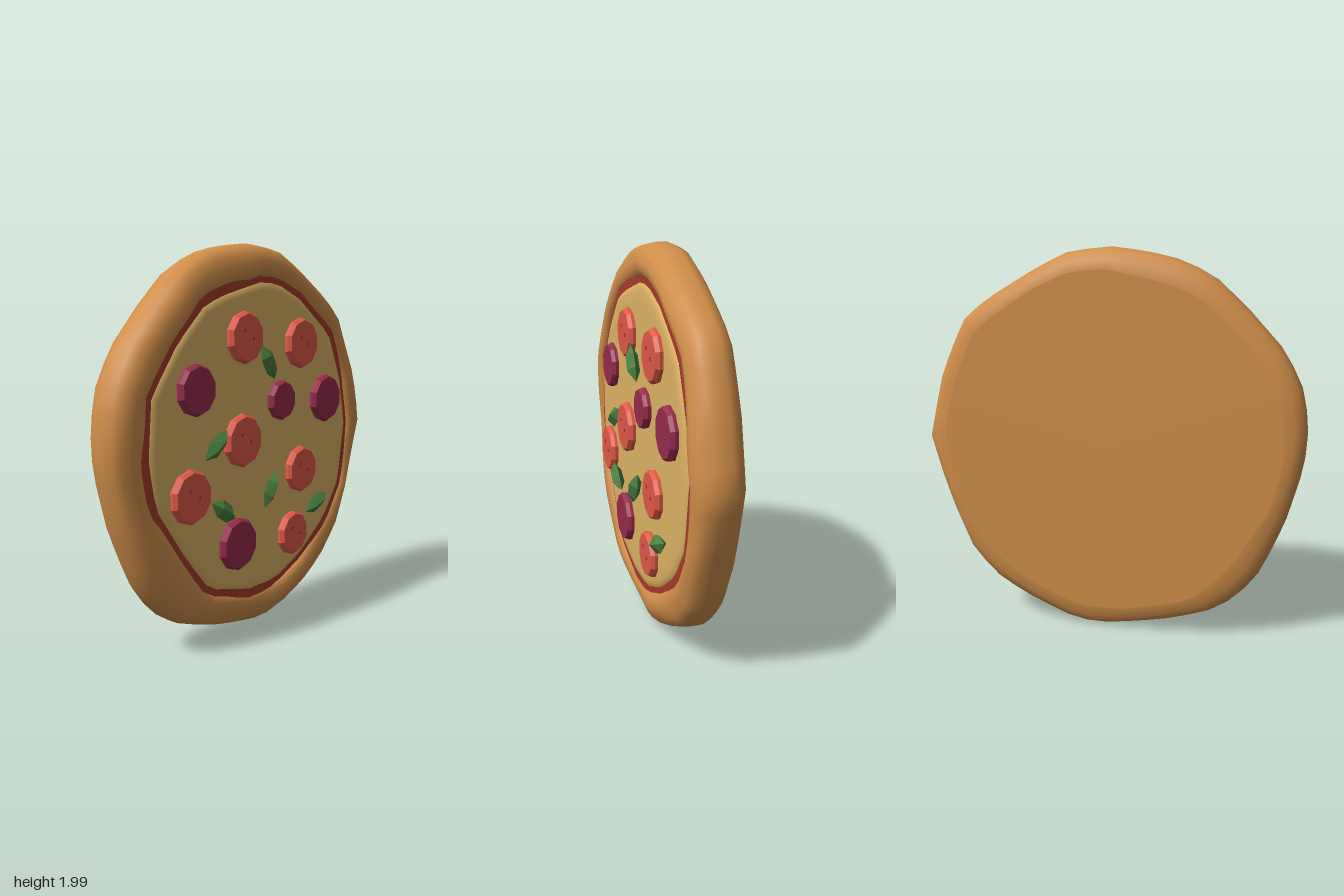
import * as THREE from 'three';
import { ConvexGeometry } from 'three/addons/geometries/ConvexGeometry.js';

const mat = (name, color) => Object.assign(new THREE.MeshStandardMaterial({ color }), { name });
const N = 56; // samples around the pie

// Hand-shaped outlines, counter-clockwise, centred on the origin
const outer = [[1, 0], [.925, .315], [.855, .487], [.77, .65], [.61, .76], [.37, .9], [.2, .98], [0, 1],
  [-.18, .98], [-.35, .94], [-.51, .87], [-.685, .71], [-.87, .51], [-.957, .35], [-1, .16], [-.99, -.05],
  [-.91, -.35], [-.8, -.615], [-.68, -.775], [-.52, -.877], [-.29, -.945], [0, -.995], [.17, -.995],
  [.41, -.9], [.61, -.8], [.77, -.64], [.86, -.42], [.925, -.25]];
const inner = [[.83, .01], [.77, .29], [.65, .55], [.36, .75], [.144, .835], [0, .835], [-.257, .775],
  [-.43, .72], [-.63, .535], [-.81, .29], [-.835, -.02], [-.79, -.25], [-.6, -.52], [-.417, -.738],
  [-.1, -.82], [.144, -.82], [.385, -.72], [.625, -.55], [.77, -.35]];

// Distance from the centre to an outline in direction a
function radiusAt(poly, a) {
  const dx = Math.cos(a), dy = Math.sin(a);
  for (let i = 0; i < poly.length; i++) {
    const [px, py] = poly[i], [qx, qy] = poly[(i + 1) % poly.length];
    const s = dx * py - dy * px, e = dx * qy - dy * qx;
    if (s <= 1e-9 && e > 1e-9 && dx * px + dy * py > 0) {
      const t = s / (s - e);
      return Math.hypot(px + (qx - px) * t, py + (qy - py) * t);
    }
  }
  return 1;
}

// Surface through closed rings; each ring is a function angle -> [radius, z]
function loft(rings) {
  const pos = [], idx = [];
  rings.forEach((ring, k) => {
    for (let i = 0; i < N; i++) {
      const a = (i / N) * Math.PI * 2 + 0.003, [r, z] = ring(a);
      pos.push(r * Math.cos(a), r * Math.sin(a), z);
      if (!k) continue;
      const j = (i + 1) % N, p = (k - 1) * N, q = k * N;
      idx.push(p + i, q + i, q + j, p + i, q + j, p + j);
    }
  });
  const g = new THREE.BufferGeometry();
  g.setAttribute('position', new THREE.Float32BufferAttribute(pos, 3));
  g.setIndex(idx);
  g.computeVertexNormals();
  return g;
}

export function createModel() {
  const crustMat = mat('crust', 0xd08e4a), sauceMat = mat('sauce', 0xa83a2c);
  const cheeseMat = mat('cheese', 0xdcb364), tomatoMat = mat('tomato', 0xe05a48);
  const salamiMat = mat('salami', 0x962b4a), speckMat = mat('speck', 0x7c2440);
  const leafMat = mat('leaf', 0x4a8040);

  const model = new THREE.Group();
  model.name = 'pizza';
  const pie = new THREE.Group(); // modelled around the origin, then lifted
  pie.name = 'pie';
  pie.position.y = 1;
  model.add(pie);
  const add = (name, geo, material, parent = pie) => {
    const m = new THREE.Mesh(geo, material);
    m.name = name;
    parent.add(m);
    return m;
  };

  // Puffy crust rim: t runs from the inner to the outer outline
  const wobble = a => 0.006 * Math.sin(5 * a + 1) + 0.004 * Math.sin(9 * a);
  const rim = ([t, z]) => a => {
    const ri = radiusAt(inner, a), ro = radiusAt(outer, a);
    return [ri + (ro - ri) * t, z > 0.03 ? z + wobble(a) - 0.004 : z];
  };
  const profile = [[-.06, .03], [0, .07], [.2, .088], [.45, .09], [.75, .068], [.94, .03], [1, -.02],
    [1, -.07], [.9, -.11], [.65, -.138], [.35, -.145]];
  add('crust', loft(profile.map(rim)), crustMat);

  // Flat dough underside
  add('doughBase', loft([rim([.35, -.145]), () => [0, -.145]]), crustMat);

  // Sauce and cheese follow the inner outline
  const layer = (s, z) => a => [radiusAt(inner, a) * s, z];
  add('sauce', loft([layer(0, .07), layer(.9, .07), layer(1.02, .068)]), sauceMat);
  add('cheese', loft([layer(0, .083), layer(.86, .083), layer(.92, .081), layer(.955, .075),
    layer(.968, .06)]), cheeseMat);

  // Round toppings: [x, y, radius]
  const speckGeo = new THREE.CylinderGeometry(.008, .015, .006, 3).rotateX(Math.PI / 2);
  function slice(name, [x, y, r], material, specks, spotMat) {
    const g = new THREE.Group();
    g.name = name;
    g.position.set(x, y - 1, 0);
    pie.add(g);
    const shape = new THREE.LatheGeometry([[r * .98, .07], [r, .1], [r * .9, .12], [0, .12]]
      .map(p => new THREE.Vector2(...p)), 10).rotateX(Math.PI / 2).toNonIndexed();
    shape.computeVertexNormals();
    add(name + 'Disc', shape, material, g);
    for (const [u, v] of specks) add(name + 'Speck', speckGeo, spotMat, g).position.set(u, v, .121);
  }
  [[-.15, 1.53, .132], [.325, 1.487, .136], [-.17, 1.015, .137], [-.555, .79, .134], [.33, .797, .128],
    [.257, .45, .121]].forEach(p => slice('tomato', p, tomatoMat, [[-.032, .036], [.036, -.005]], salamiMat));
  [[-.51, 1.294, .126], [.15, 1.193, .106], [.56, 1.17, .134], [-.21, .487, .137]]
    .forEach((p, i) => slice('salami', p, salamiMat, i ? [[.032, -.01]] : [], speckMat));

  // Folded leaves: [x, y, angle in degrees]
  const leafGeo = new ConvexGeometry([[-.105, 0, .11], [-.035, .047, .115], [.035, .045, .115], [.105, 0, .11],
    [.045, -.045, .115], [-.04, -.045, .115], [-.04, 0, .145], [.04, 0, .15], [-.04, 0, .08], [.04, 0, .08]]
    .map(p => new THREE.Vector3(...p)));
  [[.02, 1.4, -58], [-.385, 1.02, 38], [-.335, .685, -32], [.04, .733, 62], [.46, .588, 23]].forEach(([x, y, d]) => {
    const leaf = add('basilLeaf', leafGeo, leafMat);
    leaf.position.set(x, y - 1, 0);
    leaf.rotation.z = THREE.MathUtils.degToRad(d);
  });
  return model;
}
